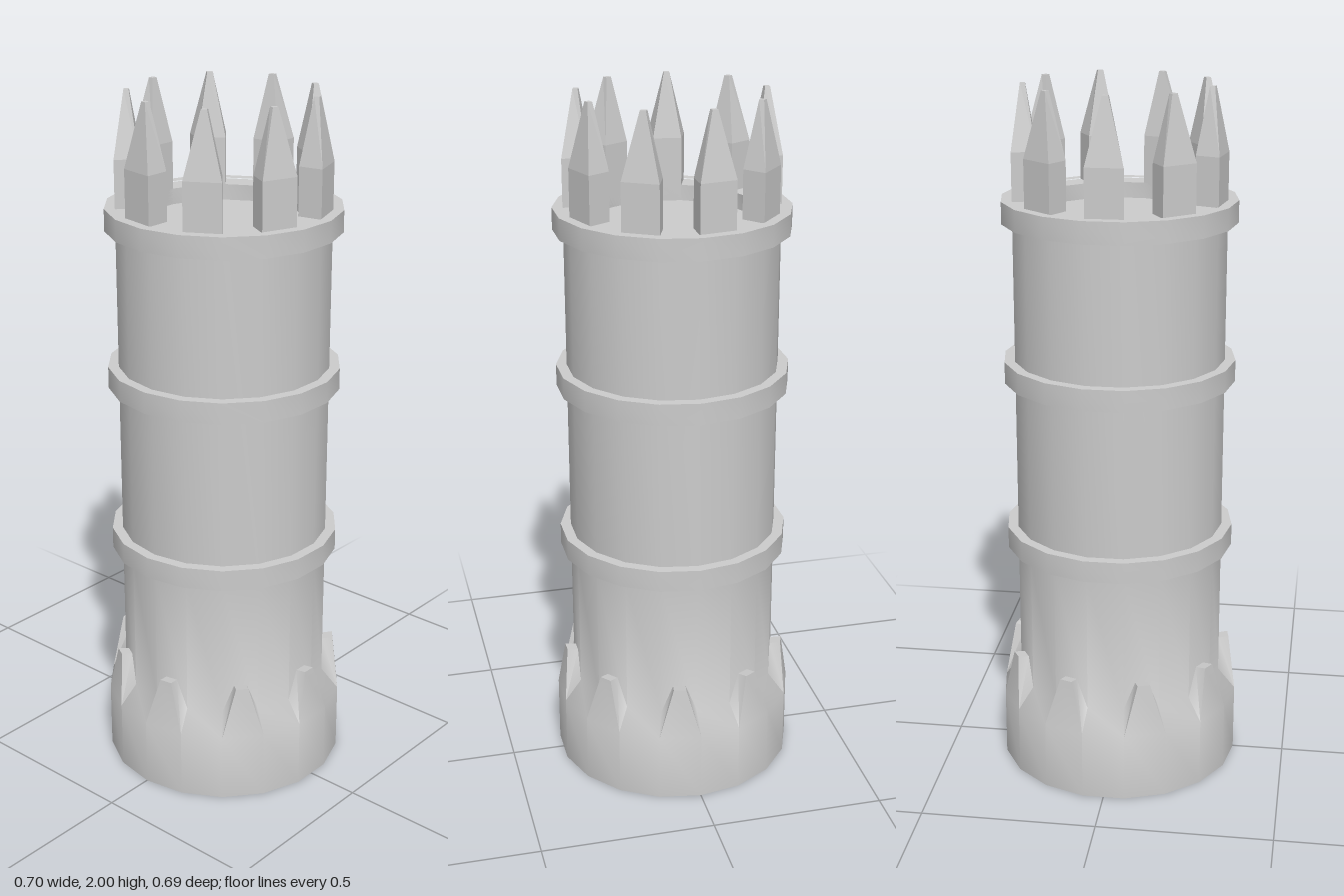
import * as THREE from 'three';
import { toCreasedNormals } from 'three/addons/utils/BufferGeometryUtils.js';

const SIDES = 18, STEP = (Math.PI * 2) / SIDES;
const material = new THREE.MeshStandardMaterial({ color: 0xcccccc });

// Corner i of the 18-sided plan at radius r and height y
const corner = (i, r, y) => [r * Math.cos(i * STEP), y, r * Math.sin(i * STEP)];

// Point beside the middle of side i: apothem distance d, sideways offset s
function beside(i, d, s, y) {
  const a = (i + 0.5) * STEP;
  return [d * Math.cos(a) - s * Math.sin(a), y, d * Math.sin(a) + s * Math.cos(a)];
}

// Collects quads (corners counter-clockwise seen from outside) into one geometry
function quadBuilder() {
  const pos = [];
  return {
    quad(a, b, c, d) { pos.push(...a, ...b, ...c, ...a, ...c, ...d); },
    tri(a, b, c) { pos.push(...a, ...b, ...c); },
    build(crease) {
      const g = new THREE.BufferGeometry();
      g.setAttribute('position', new THREE.Float32BufferAttribute(pos, 3));
      return toCreasedNormals(g, crease);
    },
  };
}

function addMesh(group, name, geometry) {
  const mesh = new THREE.Mesh(geometry, material);
  mesh.name = name;
  group.add(mesh);
}

// Faceted turned part, profile listed upwards along the outside
function turned(profile) {
  const g = new THREE.LatheGeometry(profile.map(([r, y]) => new THREE.Vector2(r, y)), SIDES);
  g.rotateY(Math.PI / 2);
  return toCreasedNormals(g, 0.6);
}

// Wide foot whose alternate sides rise into teeth, blending into the lower shaft
function footGeometry() {
  const q = quadBuilder();
  for (let i = 0; i < SIDES; i++) {
    const j = i + 1;
    const b0 = corner(i, 0.35, 0.2), b1 = corner(j, 0.35, 0.2);
    const d0 = corner(i, 0.3, 0.26), d1 = corner(j, 0.3, 0.26);
    q.tri([0, 0, 0], corner(i, 0.35, 0), corner(j, 0.35, 0));
    q.quad(corner(i, 0.35, 0), b0, b1, corner(j, 0.35, 0));
    q.quad(d0, corner(i, 0.3, 0.67), corner(j, 0.3, 0.67), d1);
    if (i % 2) {
      q.quad(b0, d0, d1, b1);
    } else {
      const o0 = beside(i, 0.328, -0.018, 0.35), o1 = beside(i, 0.328, 0.018, 0.35);
      const n0 = beside(i, 0.296, -0.018, 0.345), n1 = beside(i, 0.296, 0.018, 0.345);
      q.quad(b0, o0, o1, b1);
      q.quad(o0, n0, n1, o1);
      q.quad(b0, d0, n0, o0);
      q.quad(b1, o1, n1, d1);
    }
  }
  return q.build(1.0);
}

// Crown spike: straight wedge, then a taper to a small square tip
function spikeGeometry(i) {
  const section = (y) => [corner(i, 0.3, y), corner(i + 1, 0.3, y), corner(i + 1, 0.23, y), corner(i, 0.23, y)];
  const tip = [[0.268, -0.008], [0.268, 0.008], [0.254, 0.008], [0.254, -0.008]]
    .map(([d, s]) => beside(i, d, s, 2));
  const rings = [section(1.64), section(1.82), tip];
  const q = quadBuilder();
  for (let k = 0; k < 2; k++) {
    for (let s = 0; s < 4; s++) {
      const t = (s + 1) % 4;
      q.quad(rings[k][s], rings[k + 1][s], rings[k + 1][t], rings[k][t]);
    }
  }
  q.quad(tip[0], tip[3], tip[2], tip[1]);
  return q.build(0.1);
}

export function createModel() {
  const model = new THREE.Group();
  model.name = 'tower';

  addMesh(model, 'toothedFoot', footGeometry());

  // Upper shaft with a rim around a shallow sunken floor
  addMesh(model, 'shaft', turned([[0.3, 0.67], [0.3, 1.685], [0.23, 1.685], [0.23, 1.64], [0, 1.64]]));

  // Three raised bands
  for (const y of [0.67, 1.17, 1.625]) {
    addMesh(model, 'band', turned([[0.3, y], [0.33, y], [0.33, y + 0.062], [0.3, y + 0.062]]));
  }

  // Spikes on every other side of the rim
  const crown = new THREE.Group();
  crown.name = 'crown';
  for (let i = 1; i < SIDES; i += 2) addMesh(crown, 'spike', spikeGeometry(i));
  model.add(crown);

  return model;
}
